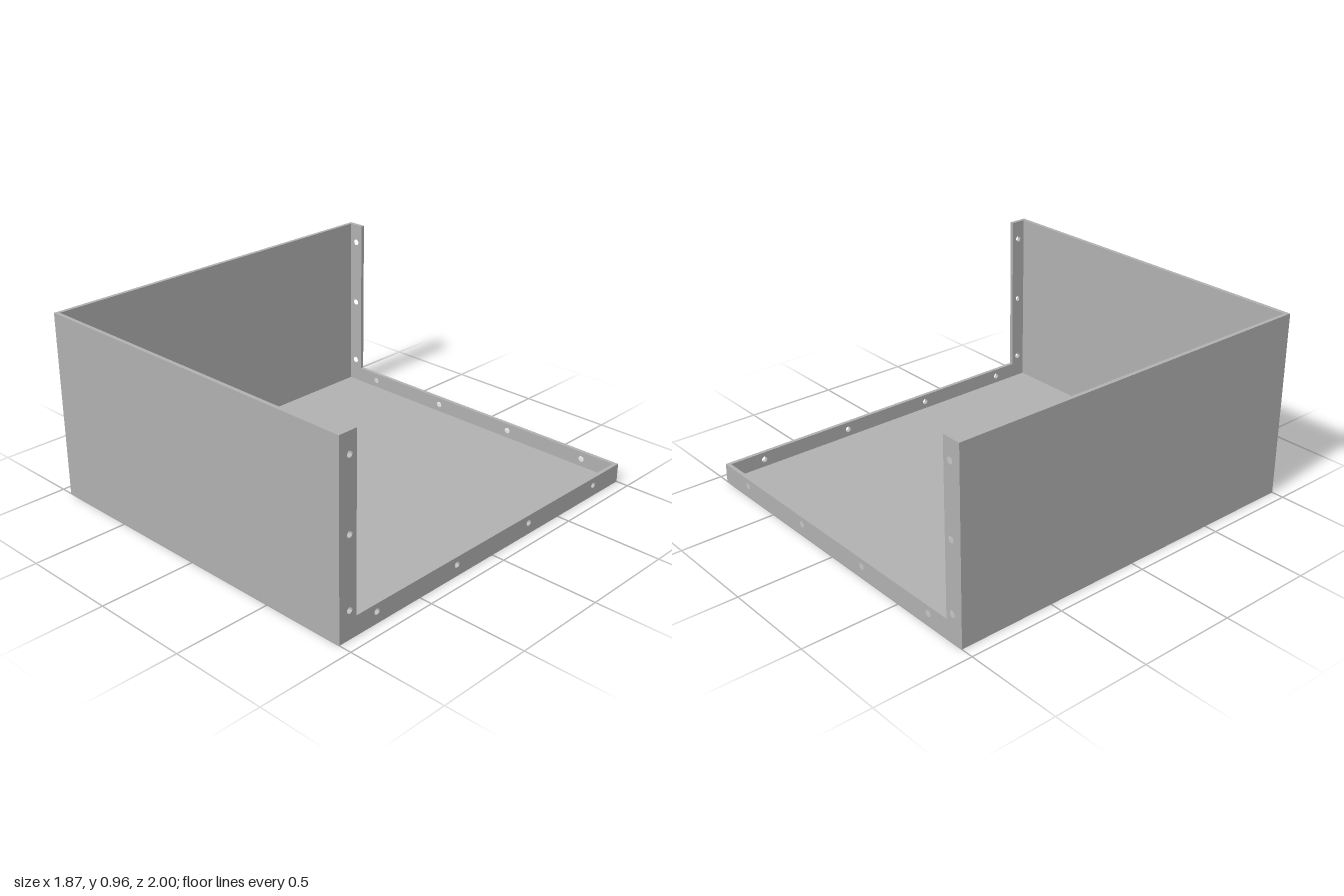
import * as THREE from 'three';

const W = 0.935, D = 1, H = 0.96; // half width, half depth, height
const T = 0.02;                   // sheet thickness
const RIM = 0.1;                  // flange width
const HOLE = 0.016;

const clamp = THREE.MathUtils.clamp;

// Sheet panel: outline extruded inwards, with mitred edges where panels meet
function panel(name, material, outline, holes, distance, rotX, rotY) {
  const shape = new THREE.Shape(outline.map(([u, v]) => new THREE.Vector2(u, v)));
  for (const [u, v] of holes) {
    shape.holes.push(new THREE.Path().absarc(u, v, HOLE, 0, Math.PI * 2, true));
  }
  const geometry = new THREE.ExtrudeGeometry(shape, { depth: T, bevelEnabled: false, curveSegments: 20 });
  const p = geometry.attributes.position;
  const inner = Array.from({ length: p.count }, (_, i) => p.getZ(i) < T / 2);
  geometry.translate(0, 0, distance - T);
  geometry.rotateX(rotX).rotateY(rotY);
  for (let i = 0; i < p.count; i++) {
    if (!inner[i]) continue;
    p.setXYZ(i, clamp(p.getX(i), T - W, W - T), Math.max(p.getY(i), T), clamp(p.getZ(i), T - D, D - T));
  }
  geometry.computeVertexNormals();
  const mesh = new THREE.Mesh(geometry, material);
  mesh.name = name;
  return mesh;
}

const rectangle = (half, low, high) => [[-half, low], [half, low], [half, high], [-half, high]];

// L-shaped outline; side is the end (-1 or 1) that carries the upright
const flange = (half, side) => [
  [half, 0], [-half, 0], [-half, RIM], [half - RIM, RIM], [half - RIM, H], [half, H],
].map(([u, v]) => [u * side, v]);

// Four holes along the bottom strip and three up the upright
function flangeHoles(half, side, first, step) {
  const holes = [];
  for (let i = 0; i < 4; i++) holes.push([side * (first - i * step), 0.06]);
  for (let i = 0; i < 3; i++) holes.push([side * (half - 0.06), 0.143 + i * 0.358]);
  return holes;
}

export function createModel() {
  const group = new THREE.Group();
  group.name = 'openCornerTray';
  const grey = new THREE.MeshStandardMaterial({ color: 0xb0b0b0 });
  grey.name = 'sheetGrey';
  const q = Math.PI / 2;

  group.add(
    panel('floor', grey, rectangle(W, -D, D), [], 0, q, 0),
    panel('frontWall', grey, rectangle(W, 0, H), [], D, 0, 0),
    panel('rightWall', grey, rectangle(D, 0, H), [], W, 0, -q),
    panel('leftFlange', grey, flange(D, -1), flangeHoles(D, -1, 0.775, 0.521), W, 0, q),
    panel('backFlange', grey, flange(W, 1), flangeHoles(W, 1, 0.71, 0.479), D, 0, 2 * q),
  );
  return group;
}
